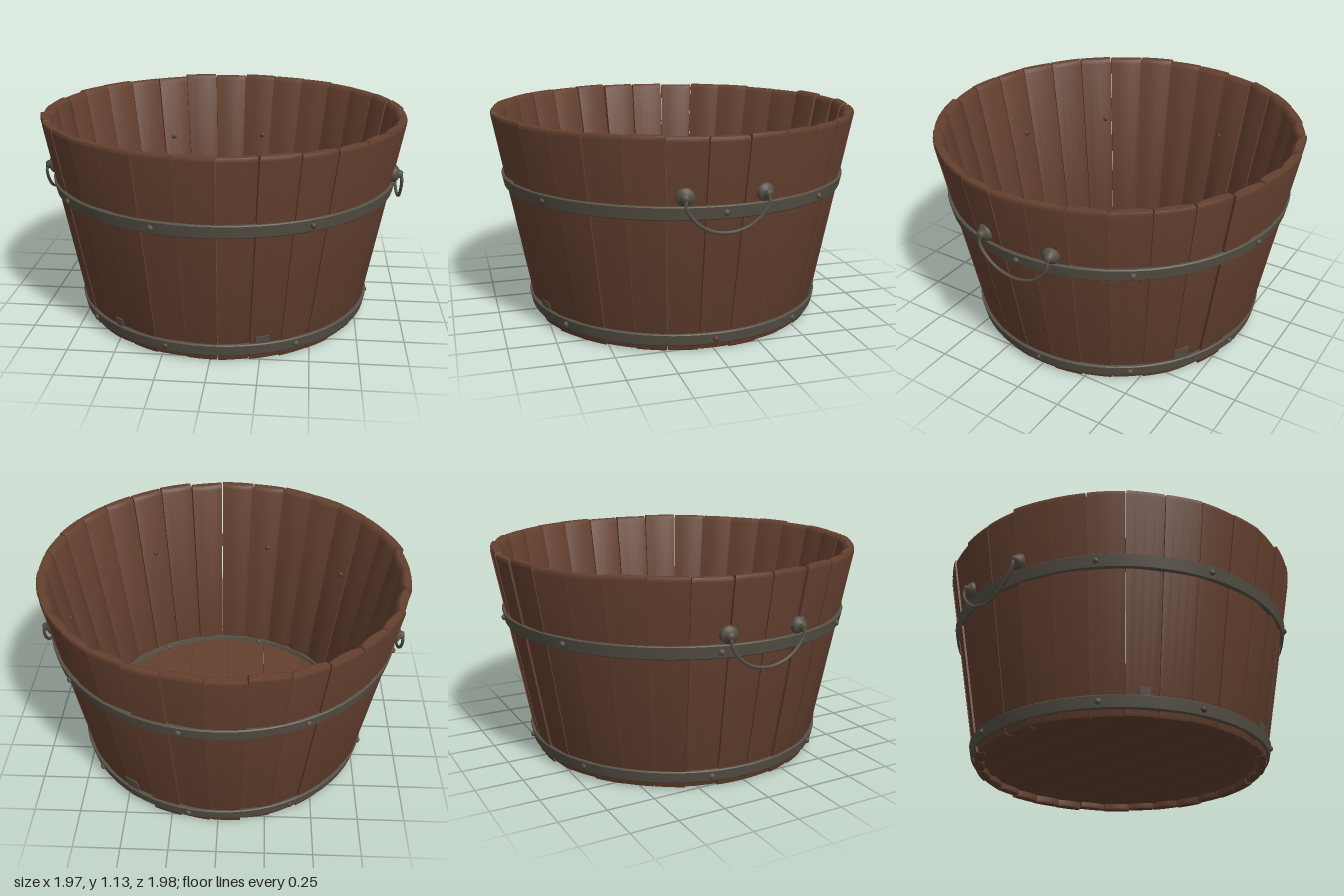
import * as THREE from 'three';
import { toCreasedNormals } from 'three/addons/utils/BufferGeometryUtils.js';

const HEIGHT = 1.13;
const STAVES = 31;
const THICK = 0.06;
const RIVET_ANGLES = [32, 90, 125.6, 169, -16.3, -52.5, -104, -152];
const rad = THREE.MathUtils.degToRad;
const outerRadius = (y) => 0.785 + 0.208 * (y / HEIGHT);

let seed = 11;
const jitter = (s) => {
  seed = (seed * 16807) % 2147483647;
  return (seed / 2147483647 - 0.5) * 2 * s;
};

export function createModel() {
  const wood = new THREE.MeshStandardMaterial({ color: 0x64402f });
  wood.name = 'wood';
  const iron = new THREE.MeshStandardMaterial({ color: 0x575146 });
  iron.name = 'iron';
  const rust = new THREE.MeshStandardMaterial({ color: 0x5a3a2e });
  rust.name = 'rusty iron';

  const tub = new THREE.Group();
  tub.name = 'tub';
  const add = (name, geometry, material, parent = tub) => {
    const mesh = new THREE.Mesh(geometry, material);
    mesh.name = name;
    parent.add(mesh);
    return mesh;
  };

  // Tapered staves, rounded on the inside, each a little uneven
  const staves = new THREE.Group();
  staves.name = 'staves';
  tub.add(staves);
  for (let i = 0; i < STAVES; i++) {
    const angle = Math.PI / 2 + (i * 2 * Math.PI) / STAVES;
    const half = Math.PI / STAVES - 0.002 + jitter(0.0015);
    add('stave', staveGeometry(angle, half), wood, staves);
  }

  // Floor planks, cut to a disc
  const floor = new THREE.Group();
  floor.name = 'floor';
  tub.add(floor);
  const cuts = [-0.742, -0.66, -0.49, -0.24, -0.005, 0.23, 0.45, 0.67, 0.742];
  for (let i = 0; i < cuts.length - 1; i++) {
    add('floorPlank', plankGeometry(cuts[i] + 0.001, cuts[i + 1] - 0.001), wood, floor);
  }

  // Iron hoops around the outside and one ring inside above the floor
  add('upperHoop', hoopGeometry(0.72, 0.79, 0.015, -0.02), iron);
  add('lowerHoop', hoopGeometry(0.038, 0.103, 0.015, -0.02), iron);
  add('innerRing', hoopGeometry(0.085, 0.115, -0.05, -0.072), iron);

  // Rivets through each hoop, with heads inside as well
  const head = new THREE.SphereGeometry(0.016, 12, 8);
  const placeRivet = (deg, y, r, material) => {
    const mesh = add('rivet', head, material);
    mesh.position.set(r * Math.sin(rad(deg)), y, r * Math.cos(rad(deg)));
    mesh.rotation.y = rad(deg);
    mesh.scale.z = 0.8;
  };
  RIVET_ANGLES.forEach((deg, i) => {
    placeRivet(deg, 0.755, outerRadius(0.755) + 0.017, i === 0 ? rust : iron);
    placeRivet(deg, 0.07, outerRadius(0.07) + 0.017, i % 3 === 1 ? rust : iron);
    placeRivet(deg, 0.755, outerRadius(0.755) - THICK, rust);
    placeRivet(deg, 0.1, outerRadius(0.1) - 0.071, iron);
  });

  // Hanging wire handles on both sides
  for (const side of [1, -1]) {
    const handle = new THREE.Group();
    handle.name = side > 0 ? 'leftHandle' : 'rightHandle';
    handle.rotation.y = side > 0 ? 0 : Math.PI;
    tub.add(handle);
    for (const z of [0.195, -0.195]) {
      const profile = [[0, 0.05], [0.012, 0.05], [0.02, 0.04], [0.022, 0.03], [0.036, 0.022],
        [0.045, 0.012], [0.045, -0.03]].map(([r, h]) => new THREE.Vector2(r, h)).reverse();
      const mount = add('handleMount', new THREE.LatheGeometry(profile, 20), iron, handle);
      mount.rotation.set(0, Math.atan2(-z, 0.93), -Math.PI / 2, 'YXZ');
      mount.position.set(0.917, 0.838, z);
    }
    const path = new THREE.CatmullRomCurve3([
      [0.955, 0.85, 0.19], [0.962, 0.805, 0.205], [0.963, 0.74, 0.17], [0.963, 0.685, 0.1], [0.963, 0.663, 0],
      [0.963, 0.685, -0.1], [0.963, 0.74, -0.17], [0.962, 0.805, -0.205], [0.955, 0.85, -0.19],
    ].map((p) => new THREE.Vector3(...p)));
    add('handleWire', new THREE.TubeGeometry(path, 48, 0.0085, 8), iron, handle);
  }

  // Small worn grey patches just above the lower hoop: angle, width, height
  for (const [deg, width, height] of [[19, 0.07, 0.045], [-37, 0.05, 0.045], [145, 0.08, 0.075]]) {
    const patch = add('wornPatch', new THREE.BoxGeometry(width, height, 0.008), iron);
    const y = 0.1 + height / 2;
    const r = outerRadius(y) + 0.002;
    patch.position.set(r * Math.sin(rad(deg)), y, r * Math.cos(rad(deg)));
    patch.rotation.set(0.182, rad(deg), 0, 'YXZ');
  }
  return tub;
}

// One stave: a curved section lofted through a few heights, with a chamfered rim
function staveGeometry(angle, half) {
  const yaw = jitter(0.006);
  const out = jitter(0.004);
  const top = HEIGHT - 0.006 + jitter(0.006);
  const foot = 0.006 + jitter(0.005);
  const levels = [[foot, 0.006], [foot + 0.012, 0], [top - 0.022, 0], [top - 0.007, 0.006], [top, 0.015]];
  const steps = [-1, -0.5, 0, 0.5, 1];
  const innerDepth = [0.044, 0.057, 0.06, 0.057, 0.044];
  const positions = [];
  for (const [y, inset] of levels) {
    const ring = (t, r) => {
      const a = angle + half * t * (1 - inset * 2);
      positions.push(r * Math.sin(a), y, r * Math.cos(a));
    };
    const base = outerRadius(y) + out;
    steps.forEach((t) => ring(t, base + yaw * t - inset * 0.5));
    [...steps].reverse().forEach((t, k) => ring(t, base + yaw * t * 1.5 - innerDepth[k] + inset));
  }
  const n = 10;
  const index = [];
  const quad = (a, b, c, d) => index.push(a, b, c, a, c, d);
  for (let l = 0; l < levels.length - 1; l++) {
    for (let i = 0; i < n; i++) {
      const j = (i + 1) % n;
      quad(l * n + i, l * n + j, (l + 1) * n + j, (l + 1) * n + i);
    }
  }
  const last = (levels.length - 1) * n;
  for (let i = 0; i < 4; i++) {
    quad(last + i, last + i + 1, last + 8 - i, last + 9 - i);
    quad(9 - i, 8 - i, i + 1, i);
  }
  const geometry = new THREE.BufferGeometry();
  geometry.setAttribute('position', new THREE.Float32BufferAttribute(positions, 3));
  geometry.setIndex(index);
  return toCreasedNormals(geometry, 0.55);
}

// A slice of the floor disc between two x positions
function plankGeometry(x0, x1) {
  const radius = 0.745;
  const points = [];
  for (let i = 0; i <= 12; i++) {
    const x = x0 + ((x1 - x0) * i) / 12;
    points.push(new THREE.Vector2(x, Math.sqrt(radius * radius - x * x)));
  }
  const mirrored = points.map((p) => new THREE.Vector2(p.x, -p.y));
  const shape = new THREE.Shape([...mirrored, ...points.reverse()]);
  const geometry = new THREE.ExtrudeGeometry(shape, { depth: 0.05, bevelEnabled: false });
  return geometry.rotateX(-Math.PI / 2).translate(0, 0.04, 0);
}

// A closed band that follows the taper of the wall
function hoopGeometry(y0, y1, outer, inner) {
  const b = 0.005;
  const profile = [
    [outerRadius(y0) + inner, y0], [outerRadius(y0) + outer - b, y0], [outerRadius(y0) + outer, y0 + b],
    [outerRadius(y1) + outer, y1 - b], [outerRadius(y1) + outer - b, y1], [outerRadius(y1) + inner, y1],
    [outerRadius(y0) + inner, y0],
  ].map(([r, y]) => new THREE.Vector2(r, y));
  return toCreasedNormals(new THREE.LatheGeometry(profile, 72), 0.5);
}
